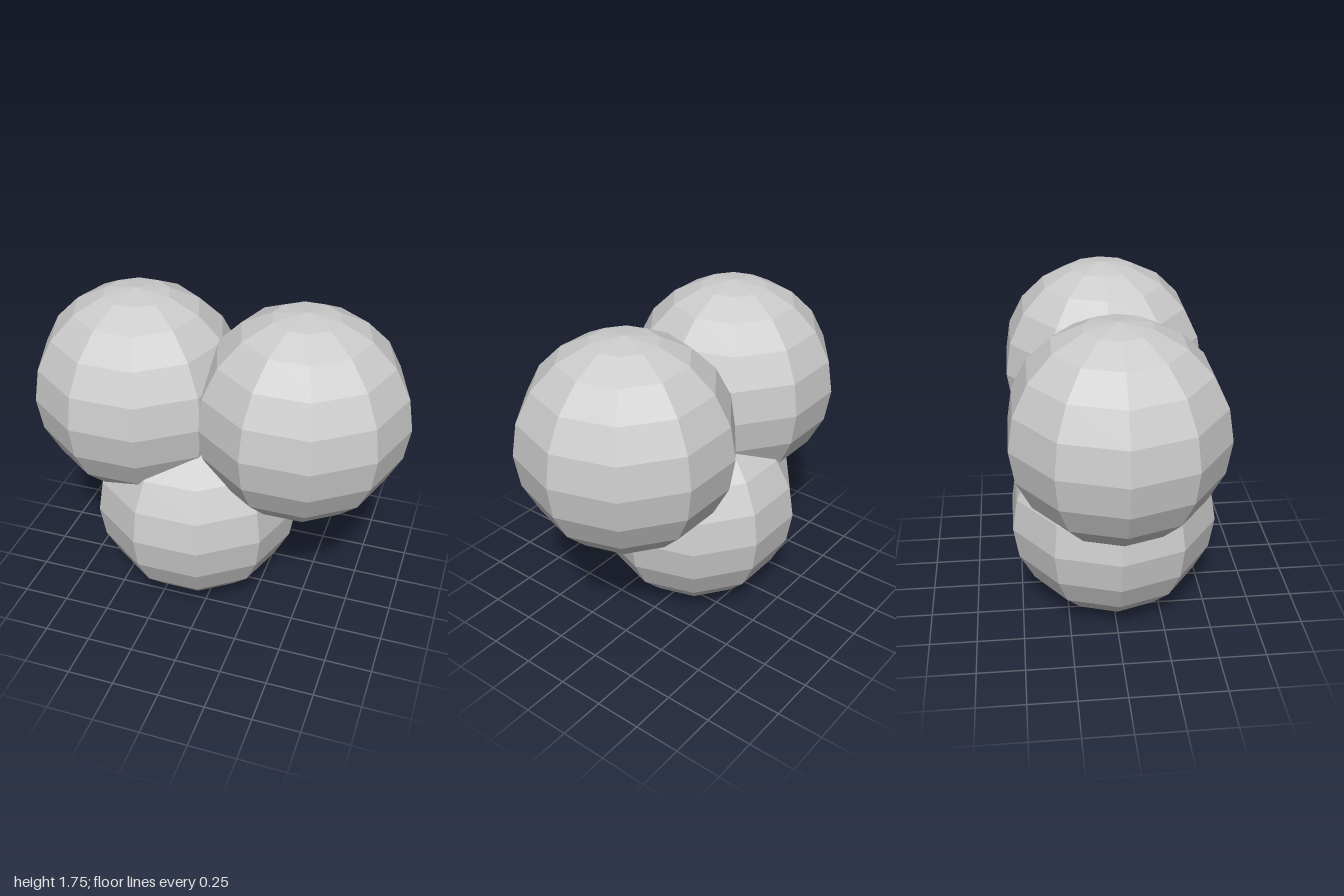
import * as THREE from 'three';

const RADIUS = 0.56;

// Name and centre of each ball in the cluster
const BALLS = [
  ['upperLeftBall', 0.44, 1.196],
  ['upperRightBall', -0.44, 1.196],
  ['lowerBall', -0.126, 0.564],
];

export function createModel() {
  const group = new THREE.Group();
  group.name = 'ballCluster';

  // Three identical faceted balls that overlap one another
  const geometry = new THREE.SphereGeometry(RADIUS, 10, 10);
  const material = new THREE.MeshStandardMaterial({ color: 0xcccccc, flatShading: true });

  for (const [name, x, y] of BALLS) {
    const ball = new THREE.Mesh(geometry, material);
    ball.name = name;
    ball.position.set(x, y, 0);
    group.add(ball);
  }
  return group;
}
